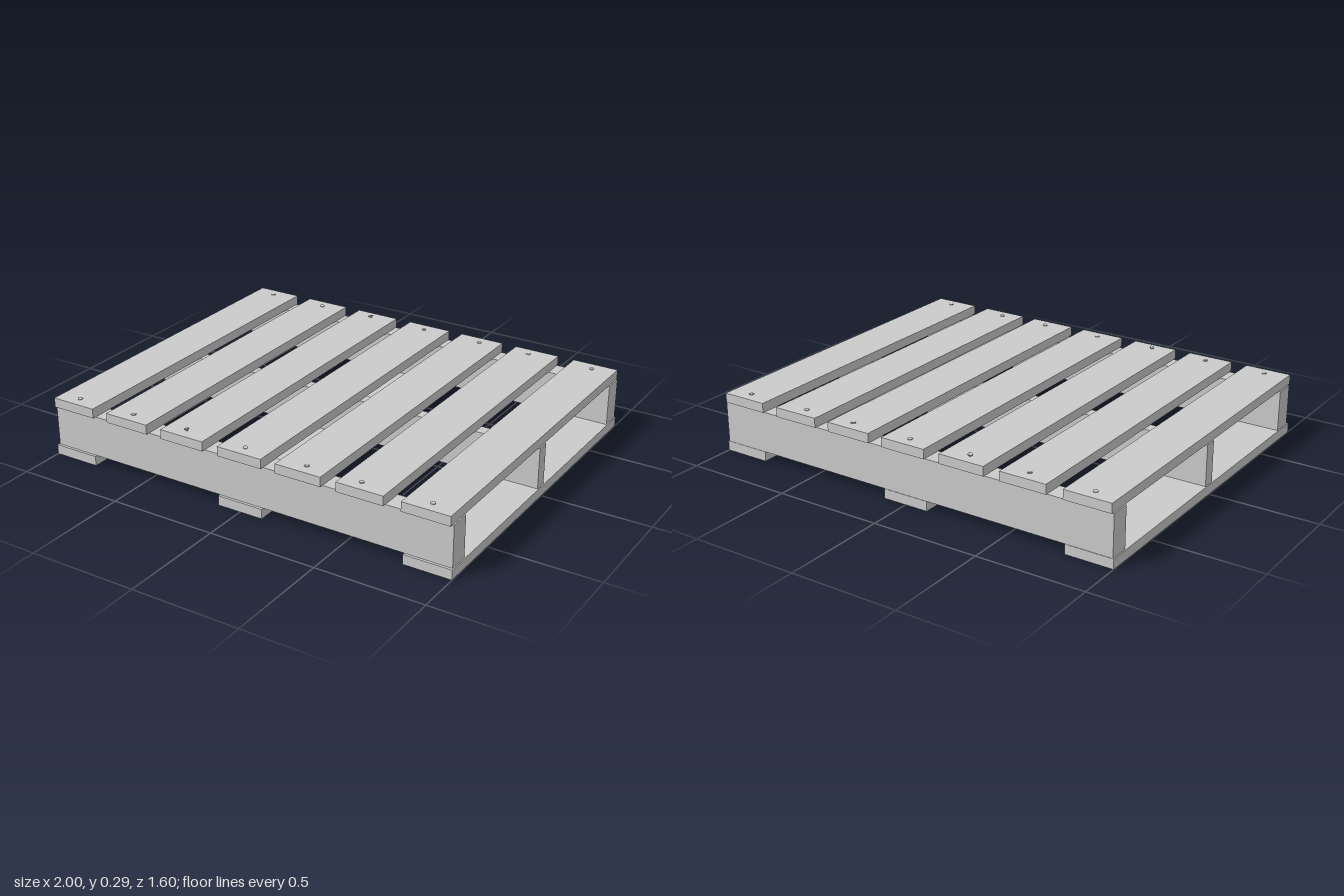
import * as THREE from 'three';

const wood = new THREE.MeshStandardMaterial({ color: 0xcccccc, flatShading: true });

// Board given by its minimum and maximum corners
function board(name, [x0, y0, z0], [x1, y1, z1]) {
  const mesh = new THREE.Mesh(new THREE.BoxGeometry(x1 - x0, y1 - y0, z1 - z0), wood);
  mesh.position.set((x0 + x1) / 2, (y0 + y1) / 2, (z0 + z1) / 2);
  mesh.name = name;
  return mesh;
}

// Nail with a flat head; lift raises the head above the slat, tilt leans it
function nail(x, z, lift, tiltX, tiltZ) {
  const group = new THREE.Group();
  group.name = 'nail';
  const head = new THREE.Mesh(new THREE.CylinderGeometry(0.011, 0.011, 0.004, 8), wood);
  head.name = 'nailHead';
  const shank = new THREE.Mesh(new THREE.CylinderGeometry(0.005, 0.005, 0.03, 8), wood);
  shank.name = 'nailShank';
  shank.position.y = -0.016;
  group.add(head, shank);
  group.position.set(x, 0.28 + lift, z);
  group.rotation.set(tiltX, 0, tiltZ);
  return group;
}

export function createModel() {
  const model = new THREE.Group();
  model.name = 'pallet';

  // Three bottom boards running front to back
  for (const x of [-0.89, 0, 0.89]) {
    model.add(board('bottomBoard', [x - 0.11, 0, -0.795], [x + 0.11, 0.045, 0.795]));
  }

  // Three stringers running side to side
  model.add(board('frontStringer', [-0.995, 0.045, 0.687], [0.995, 0.236, 0.783]));
  model.add(board('middleStringer', [-0.995, 0.045, -0.028], [0.995, 0.236, 0.03]));
  model.add(board('backStringer', [-0.995, 0.045, -0.793], [0.995, 0.236, -0.7]));

  // Seven top slats, each nailed at both ends
  const slats = [-0.88, -0.585, -0.29, 0.005, 0.293, 0.583, 0.88];
  const nailX = [-0.885, -0.585, -0.3, 0.003, 0.305, 0.563, 0.883];
  slats.forEach((x, i) => {
    model.add(board('topSlat', [x - 0.109, 0.236, -0.8], [x + 0.109, 0.28, 0.8]));
    for (const side of [1, -1]) {
      const raised = i === 2 ? 0.008 : 0.002;
      const lean = 0.12 * Math.sin(i * 2.3 + side);
      model.add(nail(nailX[i], side * 0.747, raised, lean, i === 2 ? 0.25 : -lean));
    }
  });

  return model;
}
